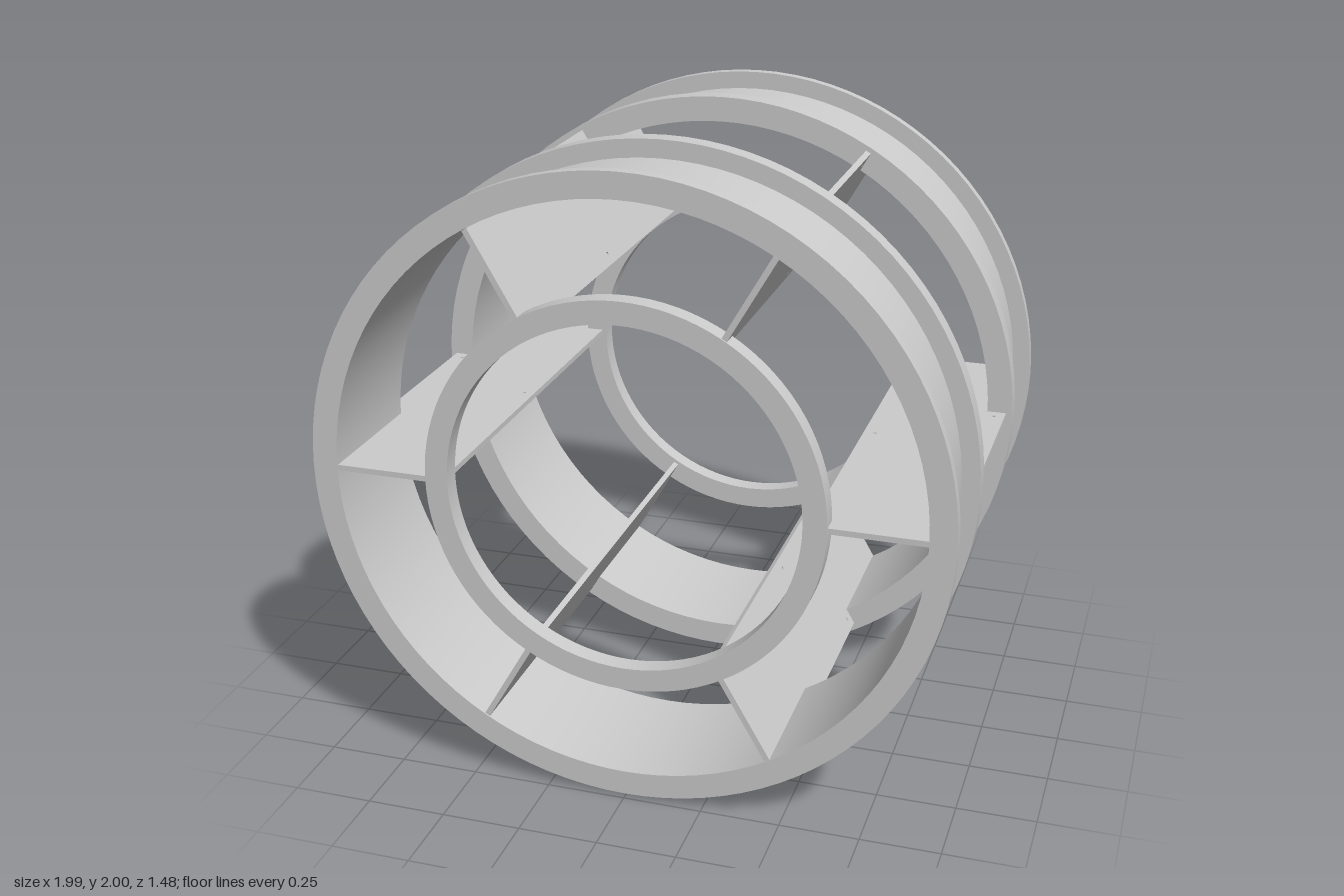
import * as THREE from 'three';
import { toCreasedNormals } from 'three/addons/utils/BufferGeometryUtils.js';

const material = new THREE.MeshStandardMaterial({ color: 0xcccccc });

// Closed [radius, z] profile turned about the z axis, with crisp edges
function turned(name, profile) {
  const points = [...profile, profile[0]].map(([r, z]) => new THREE.Vector2(r, z));
  const geometry = new THREE.LatheGeometry(points, 96).rotateX(Math.PI / 2);
  const mesh = new THREE.Mesh(toCreasedNormals(geometry, 0.6), material);
  mesh.name = name;
  return mesh;
}

// Flanged drum with a hub ring flush with its outer end
function makeDrum(name) {
  const drum = new THREE.Group();
  drum.name = name;
  drum.add(turned('flangedRim', [
    [0.915, 0.292], [0.995, 0.292], [0.995, 0.352], [0.938, 0.352],
    [0.938, 0.705], [0.995, 0.705], [0.995, 0.74], [0.915, 0.74],
  ]));
  drum.add(turned('hubRing', [[0.55, 0.68], [0.622, 0.68], [0.622, 0.74], [0.55, 0.74]]));
  return drum;
}

// Spoke plate in the radius/z plane: notched for the hub rings, with a wide
// tab between the drums and small pin holes
function makeSpokeGeometry() {
  const thickness = 0.018;
  const half = [
    [0.975, 0.292], [0.917, 0.292], [0.917, 0.735], [0.62, 0.735], [0.62, 0.68], [0.565, 0.68],
  ];
  const mirrored = half.map(([r, z]) => [r, -z]).reverse();
  const shape = new THREE.Shape([...half, ...mirrored].map(([r, z]) => new THREE.Vector2(r, z)));
  for (const [r, z] of [[0.94, 0.255], [0.94, -0.255], [0.6, 0]]) {
    shape.holes.push(new THREE.Path().absarc(r, z, 0.006, 0, Math.PI * 2, true));
  }
  return new THREE.ExtrudeGeometry(shape, { depth: thickness, bevelEnabled: false, curveSegments: 6 })
    .translate(0, 0, -thickness / 2)
    .rotateX(Math.PI / 2);
}

export function createModel() {
  const model = new THREE.Group();
  model.name = 'twinDrumFrame';

  // The two drums sit very slightly off the common axis
  const frontDrum = makeDrum('frontDrum');
  frontDrum.position.y = 1.005;
  const backDrum = makeDrum('backDrum');
  backDrum.rotation.y = Math.PI;
  backDrum.position.y = 0.995;
  model.add(frontDrum, backDrum);

  // Six radial plates run through both drums
  const spokes = new THREE.Group();
  spokes.name = 'spokePlates';
  spokes.position.y = 1;
  const spokeGeometry = makeSpokeGeometry();
  for (let i = 0; i < 6; i++) {
    const spoke = new THREE.Mesh(spokeGeometry, material);
    spoke.name = `spokePlate${i + 1}`;
    spoke.rotation.z = (i * Math.PI) / 3;
    spokes.add(spoke);
  }
  model.add(spokes);

  return model;
}
